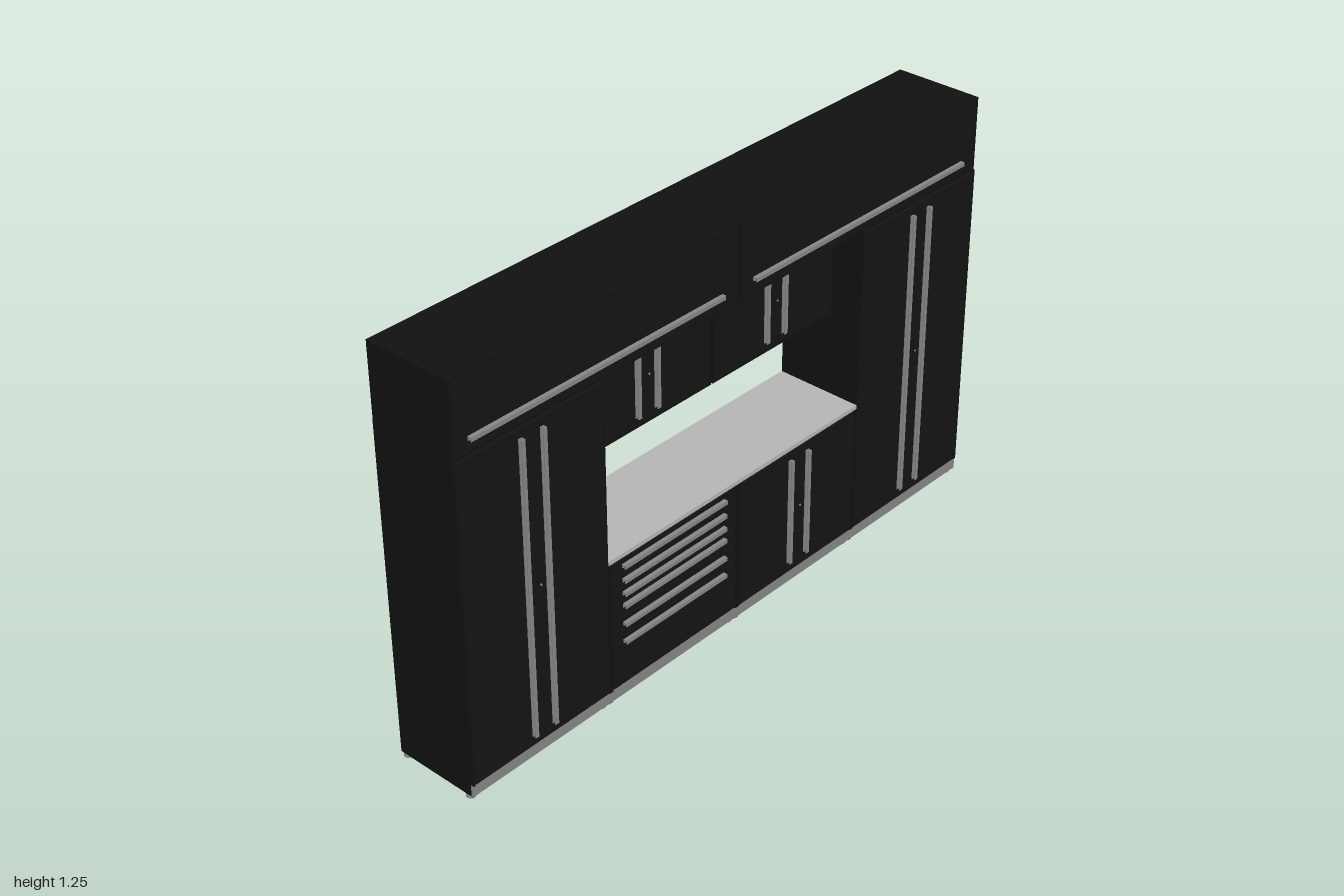
import * as THREE from 'three';

const black = new THREE.MeshStandardMaterial({ color: 0x111111 });
const doorBlack = new THREE.MeshStandardMaterial({ color: 0x141414 });
const grey = new THREE.MeshStandardMaterial({ color: 0x858585 });
const steel = new THREE.MeshStandardMaterial({ color: 0xb4b4b4 });

const BACK = -0.142, FRONT = 0.132, DOOR = 0.012, GAP = 0.002;

function add(parent, name, geometry, material) {
  const mesh = new THREE.Mesh(geometry, material);
  mesh.name = name;
  parent.add(mesh);
  return mesh;
}

// Box given by its limits on each axis
function box(parent, name, [x0, x1], [y0, y1], [z0, z1], material = black) {
  const mesh = add(parent, name, new THREE.BoxGeometry(x1 - x0, y1 - y0, z1 - z0), material);
  mesh.position.set((x0 + x1) / 2, (y0 + y1) / 2, (z0 + z1) / 2);
  return mesh;
}

// Bar handle: a channel profile with a lip, run along x or y
function handle(parent, x, y, length, vertical, z = FRONT) {
  const s = new THREE.Shape();
  [[-0.006, 0], [0.006, 0], [0.006, 0.0125], [-0.006, 0.0125], [-0.006, 0.0095], [0.002, 0.0095], [0.002, 0.003], [-0.006, 0.003]]
    .forEach(([a, b], i) => (i ? s.lineTo(a, b) : s.moveTo(a, b)));
  const geo = new THREE.ExtrudeGeometry(s, { depth: length, bevelEnabled: false });
  geo.translate(0, 0, -length / 2);
  geo.rotateX(Math.PI / 2);
  const mesh = add(parent, 'handle', geo, grey);
  if (vertical) mesh.position.set(x, y, z);
  else {
    mesh.rotation.z = Math.PI / 2;
    mesh.position.set(x, y, z);
  }
}

// Pair of doors with bar handles and a small lock
function doubleDoors(parent, x0, x1, y0, y1, hy0, hy1, z = FRONT) {
  const mid = (x0 + x1) / 2;
  for (const [a, b] of [[x0, mid - GAP / 2], [mid + GAP / 2, x1]])
    box(parent, 'door', [a, b], [y0, y1], [z - DOOR, z], doorBlack);
  for (const s of [-1, 1]) handle(parent, mid + s * 0.036, (hy0 + hy1) / 2, hy1 - hy0, true, z);
  const lock = add(parent, 'lock', new THREE.CylinderGeometry(0.003, 0.003, 0.003, 12), grey);
  lock.rotation.x = Math.PI / 2;
  lock.position.set(mid + 0.011, (hy0 + hy1) / 2, z + 0.001);
}

// Floor-standing carcass: body, skirted back and sides, toe kick and feet
function floorCabinet(name, x0, x1, top) {
  const g = new THREE.Group();
  g.name = name;
  const a = x0 + 0.001, b = x1 - 0.001, bottom = 0.012, floor = 0.05;
  box(g, 'carcass', [a, b], [floor, top], [BACK + 0.002, FRONT - DOOR - 0.001]);
  for (const x of [a, b - 0.006]) {
    box(g, 'sidePanel', [x, x + 0.006], [bottom, floor], [BACK, 0.126]);
    box(g, 'sideEdge', [x, x + 0.006], [floor, top], [BACK + 0.002, FRONT - 0.001]);
  }
  // Back panel with a trapezoid cut at the bottom
  const s = new THREE.Shape();
  [[a, bottom], [a + 0.02, bottom], [a + 0.045, floor], [b - 0.045, floor], [b - 0.02, bottom], [b, bottom], [b, top], [a, top]]
    .forEach(([x, y], i) => (i ? s.lineTo(x, y) : s.moveTo(x, y)));
  add(g, 'backPanel', new THREE.ExtrudeGeometry(s, { depth: 0.004, bevelEnabled: false }), black)
    .position.z = BACK;
  box(g, 'toeKick', [x0, x1], [0.014, floor], [0.121, 0.127], grey);
  for (const x of [x0 + 0.014, x1 - 0.014])
    for (const z of [0.104, -0.128]) {
      add(g, 'foot', new THREE.CylinderGeometry(0.012, 0.014, 0.008, 16), grey).position.set(x, 0.004, z);
      add(g, 'footStem', new THREE.CylinderGeometry(0.005, 0.005, 0.044, 10), grey).position.set(x, 0.029, z);
    }
  return g;
}

export function createModel() {
  const model = new THREE.Group();
  model.name = 'storageWall';

  // Tall lockers at both ends
  for (const [name, x0] of [['rightLocker', -1], ['leftLocker', 0.5]]) {
    const g = floorCabinet(name, x0, x0 + 0.5, 1.022);
    doubleDoors(g, x0 + 0.008, x0 + 0.492, 0.054, 1.015, 0.085, 0.99);
    model.add(g);
  }

  // Drawer cabinet
  const drawers = floorCabinet('drawerCabinet', -0.5, 0, 0.462);
  const edges = [0.458, 0.41, 0.369, 0.328, 0.272, 0.214, 0.054];
  const handleY = [0.437, 0.392, 0.35, 0.311, 0.252, 0.195];
  handleY.forEach((y, i) => {
    box(drawers, 'drawerFront', [-0.492, -0.012], [edges[i + 1] + GAP, edges[i]], [FRONT - DOOR, FRONT], doorBlack);
    handle(drawers, -0.255, y, 0.395, false);
  });
  model.add(drawers);

  // Base cabinet
  const base = floorCabinet('baseCabinet', 0, 0.5, 0.462);
  doubleDoors(base, 0.008, 0.492, 0.054, 0.456, 0.088, 0.432);
  model.add(base);

  // Worktop
  box(model, 'worktop', [-0.5, 0.5], [0.462, 0.475], [BACK, FRONT], steel);

  // Shallow wall cabinets above the worktop
  for (const [name, x0] of [['rightWallCabinet', -0.5], ['leftWallCabinet', 0.001]]) {
    const g = new THREE.Group(), x1 = x0 + 0.494, z = 0.038;
    g.name = name;
    box(g, 'carcass', [x0, x1], [0.738, 1.022], [BACK + 0.002, z - DOOR - 0.001]);
    for (const x of [x0, x1 - 0.007]) box(g, 'sideEdge', [x, x + 0.007], [0.738, 1.022], [z - DOOR - 0.001, z]);
    box(g, 'bottomEdge', [x0 + 0.007, x1 - 0.007], [0.738, 0.748], [z - DOOR - 0.001, z]);
    doubleDoors(g, x0 + 0.009, x1 - 0.009, 0.751, 1.018, 0.77, 0.99, z);
    model.add(g);
  }

  // Overhead cabinets with lift-up doors
  for (const [name, x0] of [['rightOverhead', -1], ['leftOverhead', -0.002]]) {
    const g = new THREE.Group(), x1 = x0 + 0.994, z1 = FRONT - DOOR - 0.001;
    g.name = name;
    box(g, 'carcass', [x0, x1], [1.024, 1.247], [BACK + 0.002, z1]);
    for (const x of [x0, x1 - 0.007]) box(g, 'sideEdge', [x, x + 0.007], [1.024, 1.247], [z1, FRONT]);
    for (const y of [1.024, 1.239]) box(g, 'rail', [x0 + 0.007, x1 - 0.007], [y, y + 0.008], [z1, FRONT]);
    box(g, 'liftDoor', [x0 + 0.009, x1 - 0.009], [1.034, 1.237], [FRONT - DOOR, FRONT], doorBlack);
    handle(g, x0 + 0.491, 1.069, 0.88, false);
    model.add(g);
  }

  return model;
}
